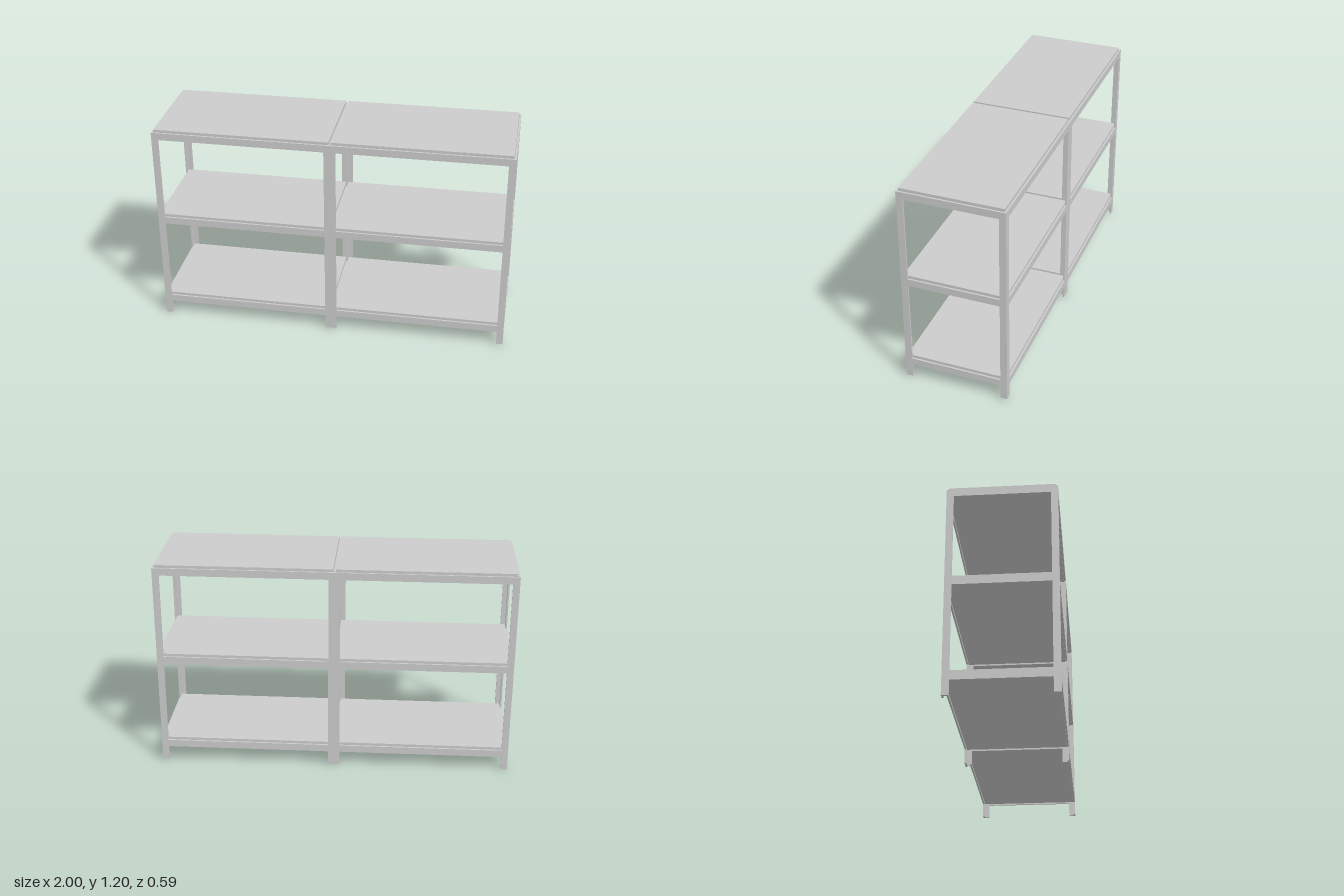
import * as THREE from 'three';

const W = 0.997;      // half width
const D = 0.293;      // half depth
const T = 0.01;       // sheet thickness of the angle profile
const F = 0.0375;     // flange width of the posts
const H = 1.177;      // post height
const RAIL = 0.041;   // rail height
const LEVELS = [0.081, 0.609, H - RAIL]; // underside of the rails

export function createModel() {
  const root = new THREE.Group();
  root.name = 'shelvingUnit';
  const frame = new THREE.Group();
  frame.name = 'frame';
  root.add(frame);
  const mat = new THREE.MeshStandardMaterial({ color: 0xcccccc, flatShading: true });

  // Box given by its minimum and maximum corners
  const box = (name, x0, x1, y0, y1, z0, z1) => {
    const mesh = new THREE.Mesh(new THREE.BoxGeometry(x1 - x0, y1 - y0, z1 - z0), mat);
    mesh.position.set((x0 + x1) / 2, (y0 + y1) / 2, (z0 + z1) / 2);
    mesh.name = name;
    frame.add(mesh);
  };

  // Post extruded upward from a floor outline of [x, z] points
  const post = (name, points, mirrorX, mirrorZ) => {
    const pts = points.map(([x, z]) => new THREE.Vector2(x * mirrorX, -z * mirrorZ));
    const geo = new THREE.ExtrudeGeometry(new THREE.Shape(pts), { depth: H, bevelEnabled: false });
    geo.rotateX(-Math.PI / 2);
    const mesh = new THREE.Mesh(geo, mat);
    mesh.name = name;
    frame.add(mesh);
  };

  // L-shaped corner posts and the shared T-shaped middle posts
  const corner = [[W, D], [W, D - F], [W - T, D - F], [W - T, D - T], [W - F, D - T], [W - F, D]];
  const M = F - T / 2;
  const tee = [[M, D], [M, D - T], [T / 2, D - T], [T / 2, D - F],
    [-T / 2, D - F], [-T / 2, D - T], [-M, D - T], [-M, D]];
  for (const sz of [1, -1]) {
    const end = sz > 0 ? 'front' : 'back';
    post(end + 'LeftPost', corner, 1, sz);
    post(end + 'RightPost', corner, -1, sz);
    post(end + 'MiddlePost', tee, 1, sz);
  }

  for (const y of LEVELS) {
    // Side and middle rails running front to back
    for (const x of [-W + T / 2, 0, W - T / 2]) {
      box('sideRail', x - T / 2, x + T / 2, y, y + RAIL, -D + F, D - F);
    }
    for (const s of [-1, 1]) {
      // Long rails of each bay, front and back
      const [a, b] = s > 0 ? [M, W - F] : [-W + F, -M];
      box('frontRail', a, b, y, y + RAIL, D - T, D);
      box('backRail', a, b, y, y + RAIL, -D, -D + T);
      // Shelf board seated between the rails and standing slightly proud
      const [c, d] = s > 0 ? [0.007, W - 0.012] : [-W + 0.012, -0.007];
      box('shelfBoard', c, d, y + 0.008, y + RAIL + 0.015, -D + 0.011, D - 0.011);
    }
  }

  // The whole unit leans very slightly to its right
  frame.rotation.z = 0.005;
  frame.position.set(0.003, 0.005, 0);
  return root;
}
